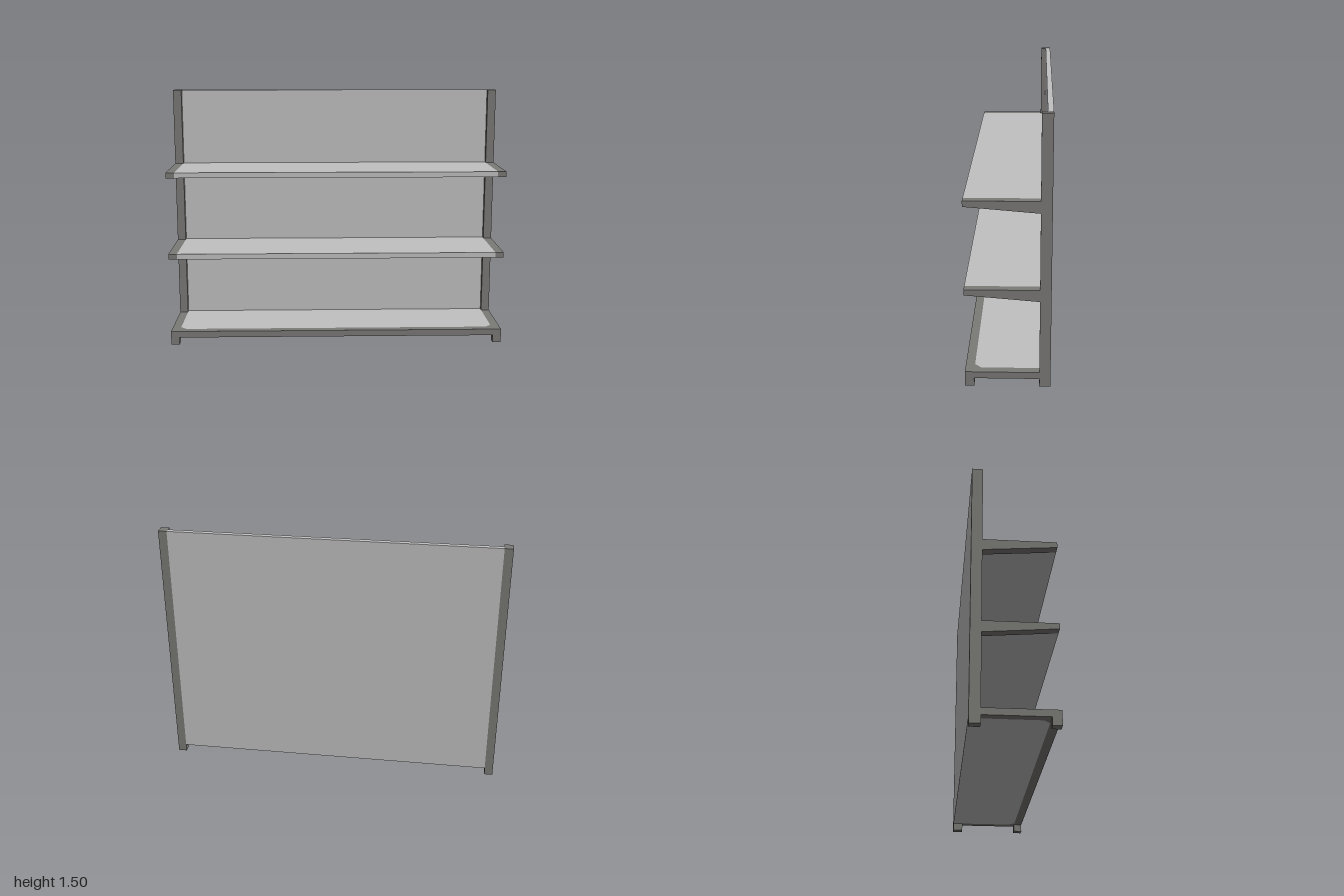
import * as THREE from 'three';

export function createModel() {
  const model = new THREE.Group();
  model.name = 'wallShelf';
  const panelGrey = new THREE.MeshStandardMaterial({ color: 0xc1c1c1 });
  panelGrey.name = 'light grey panel';
  const frameGrey = new THREE.MeshStandardMaterial({ color: 0x7b7a77 });
  frameGrey.name = 'dark grey frame';

  function add(name, geometry, material) {
    const mesh = new THREE.Mesh(geometry, material);
    mesh.name = name;
    model.add(mesh);
    return mesh;
  }

  // Box given by its limits on each axis
  function box(name, material, [x0, x1], [y0, y1], [z0, z1]) {
    const mesh = add(name, new THREE.BoxGeometry(x1 - x0, y1 - y0, z1 - z0), material);
    mesh.position.set((x0 + x1) / 2, (y0 + y1) / 2, (z0 + z1) / 2);
    return mesh;
  }

  // Outline in [z, y], extruded along x from x0
  function sidePlate(name, material, points, x0, width) {
    const shape = new THREE.Shape(points.map(([z, y]) => new THREE.Vector2(-z, y)));
    const geometry = new THREE.ExtrudeGeometry(shape, { depth: width, bevelEnabled: false });
    geometry.rotateY(Math.PI / 2);
    geometry.translate(x0, 0, 0);
    return add(name, geometry, material);
  }

  // Outline in [x, z], extruded upwards from y0
  function floorPlate(name, material, points, y0, height) {
    const shape = new THREE.Shape(points.map(([x, z]) => new THREE.Vector2(x, -z)));
    const geometry = new THREE.ExtrudeGeometry(shape, { depth: height, bevelEnabled: false });
    geometry.rotateX(-Math.PI / 2);
    geometry.translate(0, y0, 0);
    return add(name, geometry, material);
  }

  const inner = 0.95, front = 0.23, back = -0.23, postFront = -0.17, panelFront = -0.2;
  const height = 1.505, baseLow = 0.045, baseTop = 0.083;
  const shelfTops = [0.562, 1.05];

  // Back panel and shelf boards
  box('backPanel', panelGrey, [-inner, inner], [baseLow, height], [back, panelFront]);
  for (const top of shelfTops) {
    box('shelfBoard', panelGrey, [-inner, inner], [top - 0.032, top], [panelFront, front]);
  }

  // Base board with cut front corners
  const barBack = 0.18, cut = 0.035;
  floorPlate('baseBoard', panelGrey, [
    [-inner, panelFront], [-inner, barBack - cut], [-inner + cut, barBack],
    [inner - cut, barBack], [inner, barBack - cut], [inner, panelFront],
  ], baseLow, baseTop - baseLow);
  box('baseFrontBar', frameGrey, [-inner, inner], [baseLow, baseTop], [barBack, front]);

  for (const side of [-1, 1]) {
    const x0 = side < 0 ? -1 : inner;
    const xs = [x0, x0 + 0.05];
    const label = side < 0 ? 'right' : 'left';
    box(label + 'Post', frameGrey, xs, [0, height], [back, postFront]);
    // Base side bar with its front foot
    sidePlate(label + 'BaseRail', frameGrey, [
      [postFront, baseLow], [postFront, baseTop], [front, baseTop],
      [front, 0], [barBack, 0], [barBack, baseLow],
    ], x0, 0.05);
    // Corner gusset filling the cut of the base board
    floorPlate(label + 'BaseGusset', frameGrey, [
      [side * inner, barBack - cut], [side * inner, barBack], [side * (inner - cut), barBack],
    ], baseLow, baseTop - baseLow);
    // Tapered brackets
    for (const top of shelfTops) {
      sidePlate(label + 'Bracket', frameGrey, [
        [postFront, top - 0.065], [postFront, top], [front, top], [front, top - 0.032],
      ], x0, 0.05);
    }
  }
  return model;
}
